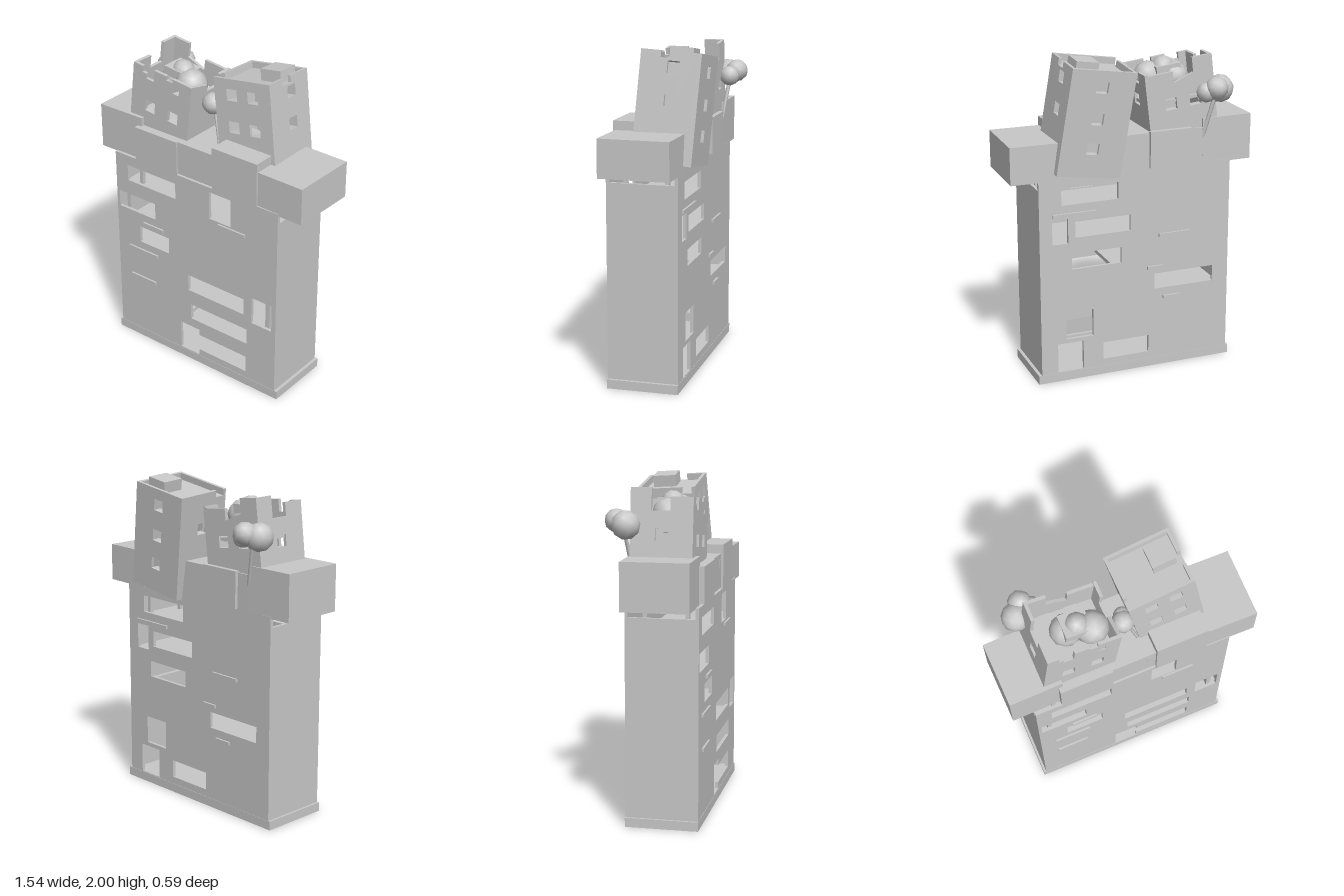
import * as THREE from 'three';

export function createModel() {
  const model = new THREE.Group();
  const grey = new THREE.MeshStandardMaterial({ color: 0xc8c8c8 });
  grey.name = 'concrete grey';

  const add = (parent, name, geo) => {
    const m = new THREE.Mesh(geo, grey);
    m.name = name;
    parent.add(m);
    return m;
  };
  // Box given by its min and max on each axis
  const box = (parent, name, x0, x1, y0, y1, z0, z1) => {
    const m = add(parent, name, new THREE.BoxGeometry(x1 - x0, y1 - y0, z1 - z0));
    m.position.set((x0 + x1) / 2, (y0 + y1) / 2, (z0 + z1) / 2);
    return m;
  };
  const points = (list) => list.map(([x, y]) => new THREE.Vector2(x, y));
  const rect = (x0, x1, y0, y1) => [[x0, y0], [x1, y0], [x1, y1], [x0, y1]];
  // Thin wall with window holes, extruded along +z
  const wall = (parent, name, outline, holes, depth) => {
    const shape = new THREE.Shape(points(outline));
    holes.forEach((h) => shape.holes.push(new THREE.Path(points(h))));
    return add(parent, name, new THREE.ExtrudeGeometry(shape, { depth, bevelEnabled: false }));
  };

  // Main block: hollow, with pierced front and back
  const body = new THREE.Group();
  body.name = 'mainBlock';
  model.add(body);
  const frontHoles = [
    rect(-0.54, -0.16, 1.13, 1.235), rect(0.1, 0.26, 1.09, 1.27),
    rect(-0.615, -0.325, 0.925, 1.035), rect(-0.455, -0.22, 0.72, 0.83),
    rect(-0.07, 0.36, 0.515, 0.625), rect(0.42, 0.57, 0.48, 0.66),
    rect(-0.05, 0.385, 0.31, 0.415),
    [[-0.135, 0.06], [0.015, 0.06], [0.015, 0.1], [0.38, 0.1], [0.38, 0.21],
      [0.015, 0.21], [0.015, 0.25], [-0.135, 0.25]],
  ];
  const backHoles = [
    rect(0.1, 0.46, 1.13, 1.235), rect(0.42, 0.52, 0.89, 1.045),
    rect(0.02, 0.375, 0.92, 1.02), rect(0.08, 0.4, 0.72, 0.82),
    rect(0.265, 0.44, 0.27, 0.445), rect(0.33, 0.495, 0.06, 0.245),
    rect(-0.1, 0.2, 0.1, 0.21), rect(-0.53, -0.14, 0.515, 0.615),
  ];
  const slab = rect(-0.635, 0.6, 0.02, 1.3);
  wall(body, 'frontWall', slab, frontHoles, 0.02).position.z = 0.26;
  wall(body, 'backWall', slab, backHoles, 0.02).position.z = -0.15;
  box(body, 'rightWall', -0.635, -0.615, 0, 1.235, -0.15, 0.28);
  box(body, 'leftWall', 0.58, 0.6, 0, 1.235, -0.15, 0.28);
  box(body, 'basePlinth', -0.65, 0.62, 0, 0.055, -0.152, 0.282);

  // Floors and partitions inside
  [[0.25, -0.61, -0.15], [0.455, -0.61, 0.58], [0.66, -0.61, 0.1], [0.865, -0.61, 0.58], [1.07, -0.61, 0.58]]
    .forEach(([y, x0, x1]) => box(body, 'floor', x0, x1, y - 0.012, y + 0.012, -0.14, 0.27));
  box(body, 'partition', -0.57, -0.545, 0.87, 1.06, -0.13, 0.26);
  box(body, 'partition', 0.51, 0.54, 0.46, 0.66, -0.13, 0.26);
  for (const z of [0.19, -0.06])
    for (const x of [-0.5, 0.5]) box(body, 'post', x - 0.012, x + 0.012, 1.07, 1.27, z - 0.012, z + 0.012);

  // Ledges on the front and back faces
  [[0.17, 0.37, 1.07], [-0.42, -0.26, 0.865], [-0.54, -0.31, 0.66], [-0.53, -0.33, 0.455]]
    .forEach(([a, b, y]) => box(body, 'frontLedge', a, b, y - 0.01, y + 0.01, 0.275, 0.292));
  [[0.24, 0.52, 1.07], [-0.37, -0.165, 0.865], [-0.19, -0.09, 0.66], [-0.31, -0.195, 0.455]]
    .forEach(([a, b, y]) => box(body, 'backLedge', a, b, y - 0.01, y + 0.01, -0.163, -0.145));

  // Upper deck and the overhanging boxes
  box(model, 'deck', -0.47, 0.46, 1.29, 1.515, -0.15, 0.262);
  box(model, 'deckFrontPanel', -0.15, 0.125, 1.31, 1.515, 0.25, 0.27);
  box(model, 'deckFrontBox', -0.47, -0.145, 1.285, 1.515, 0.1, 0.28);
  box(model, 'tallFrontBox', 0.125, 0.45, 1.285, 1.57, 0.14, 0.284);
  box(model, 'deckBackPanel', -0.37, -0.1, 1.3, 1.525, -0.17, -0.14);
  box(model, 'deckVent', 0.07, 0.09, 1.43, 1.485, 0.255, 0.272);
  box(model, 'rightOverhang', -0.768, -0.445, 1.287, 1.57, -0.148, 0.25).rotation.y = 0.015;
  box(model, 'leftOverhang', 0.45, 0.763, 1.287, 1.515, -0.15, 0.275).rotation.y = -0.02;

  // Leaning tower from four pierced walls; each side is {top, holes}
  const tower = (name, w, d, sides) => {
    const g = new THREE.Group();
    g.name = name;
    model.add(g);
    const t = 0.02;
    const win = ([x, y]) => rect(x - 0.037, x + 0.037, y - 0.04, y + 0.04);
    sides.forEach(({ top, holes }, i) => {
      const along = (i % 2 ? d : w) / 2, out = (i % 2 ? w : d) / 2;
      const outline = [[-along, 0], [along, 0], ...top];
      const holder = new THREE.Group();
      holder.name = name + 'Side';
      holder.rotation.y = i * Math.PI / 2;
      g.add(holder);
      wall(holder, 'towerWall', outline, holes.map(win), t).position.z = out - t;
      // Sill under every window
      holes.forEach(([x, y]) => box(holder, 'windowSill', x - 0.037, x + 0.037, y - 0.043, y - 0.03, out - 0.05, out));
    });
    return g;
  };

  // Broken tower: front, left, back, right walls with ragged tops
  const broken = tower('brokenTower', 0.44, 0.365, [
    { top: [[0.22, 0.545], [0.08, 0.545], [0.08, 0.52], [0.03, 0.52], [0.03, 0.545], [-0.06, 0.545], [-0.06, 0.47],
      [-0.12, 0.47], [-0.12, 0.5], [-0.15, 0.5], [-0.15, 0.54], [-0.22, 0.54]],
      holes: [[0.095, 0.49], [-0.075, 0.295], [0.1, 0.295]].map(([x, y]) => [x, y - 0.005]) },
    { top: [[0.182, 0.54], [0.08, 0.54], [0.08, 0.47], [-0.03, 0.47], [-0.03, 0.51], [-0.182, 0.545]],
      holes: [[0.02, 0.36]] },
    { top: [[0.22, 0.59], [0.09, 0.59], [0.09, 0.5], [-0.04, 0.46], [-0.04, 0.53], [-0.22, 0.53]],
      holes: [[0.09, 0.33], [-0.07, 0.33]] },
    { top: [[0.182, 0.54], [0.05, 0.54], [0.05, 0.46], [-0.06, 0.46], [-0.06, 0.59], [-0.182, 0.59]],
      holes: [[0, 0.32]] },
  ]);
  broken.position.set(-0.352, 1.35, 0.042);
  broken.rotation.z = -0.118;
  box(broken, 'towerFloor', -0.21, 0.21, 0.34, 0.36, -0.17, 0.17);

  // Whole tower with a recessed roof and chimney
  const whole = tower('wholeTower', 0.4, 0.36, [
    { top: [[0.2, 0.645], [-0.2, 0.645]],
      holes: [[-0.075, 0.545], [0.075, 0.545], [-0.075, 0.35], [0.075, 0.35]] },
    { top: [[0.18, 0.645], [0.02, 0.645], [0.02, 0.605], [-0.06, 0.605], [-0.06, 0.645], [-0.18, 0.645]],
      holes: [[0.02, 0.55], [0.02, 0.36]] },
    { top: [[0.2, 0.645], [-0.2, 0.645]], holes: [[0, 0.54], [0, 0.35], [0, 0.17]] },
    { top: [[0.18, 0.605], [0.1, 0.605], [0.1, 0.645], [-0.18, 0.645]], holes: [[0, 0.42]] },
  ]);
  whole.position.set(0.306, 1.31, -0.017);
  whole.rotation.set(-0.06, 0, 0.15);
  box(whole, 'towerRoof', -0.19, 0.19, 0.59, 0.605, -0.17, 0.17);
  box(whole, 'towerFloor', -0.19, 0.19, 0.01, 0.03, -0.17, 0.17);
  box(whole, 'chimney', 0.02, 0.16, 0.6, 0.675, -0.12, 0.02);

  // Trees: low-sided foliage balls on thin trunks
  const ball = (x, y, z, r) => {
    const m = add(model, 'foliage', new THREE.IcosahedronGeometry(r, 1));
    m.position.set(x, y, z);
    m.rotation.set(x * 5, z * 7, y);
  };
  [[-0.55, 1.75, -0.16, 0.085], [-0.5, 1.77, -0.225, 0.07], [-0.45, 1.74, -0.19, 0.062],
    [-0.33, 1.8, 0.04, 0.095], [-0.19, 1.8, 0.08, 0.1], [-0.27, 1.86, 0.055, 0.07],
    [-0.01, 1.745, 0.1, 0.067], [0, 1.74, 0.06, 0.05]].forEach((b) => ball(...b));
  const hut = box(model, 'roofHut', -0.36, -0.2, 1.83, 1.885, -0.02, 0.125);
  hut.rotation.z = -0.118;
  const trunk = (a, b, r) => {
    const curve = new THREE.LineCurve3(new THREE.Vector3(...a), new THREE.Vector3(...b));
    add(model, 'trunk', new THREE.TubeGeometry(curve, 1, r, 6, false));
  };
  trunk([0.07, 1.5, 0.14], [0, 1.74, 0.1], 0.01);
  trunk([-0.45, 1.45, -0.14], [-0.52, 1.74, -0.18], 0.012);
  trunk([-0.27, 1.6, 0.05], [-0.26, 1.82, 0.06], 0.015);

  return model;
}
